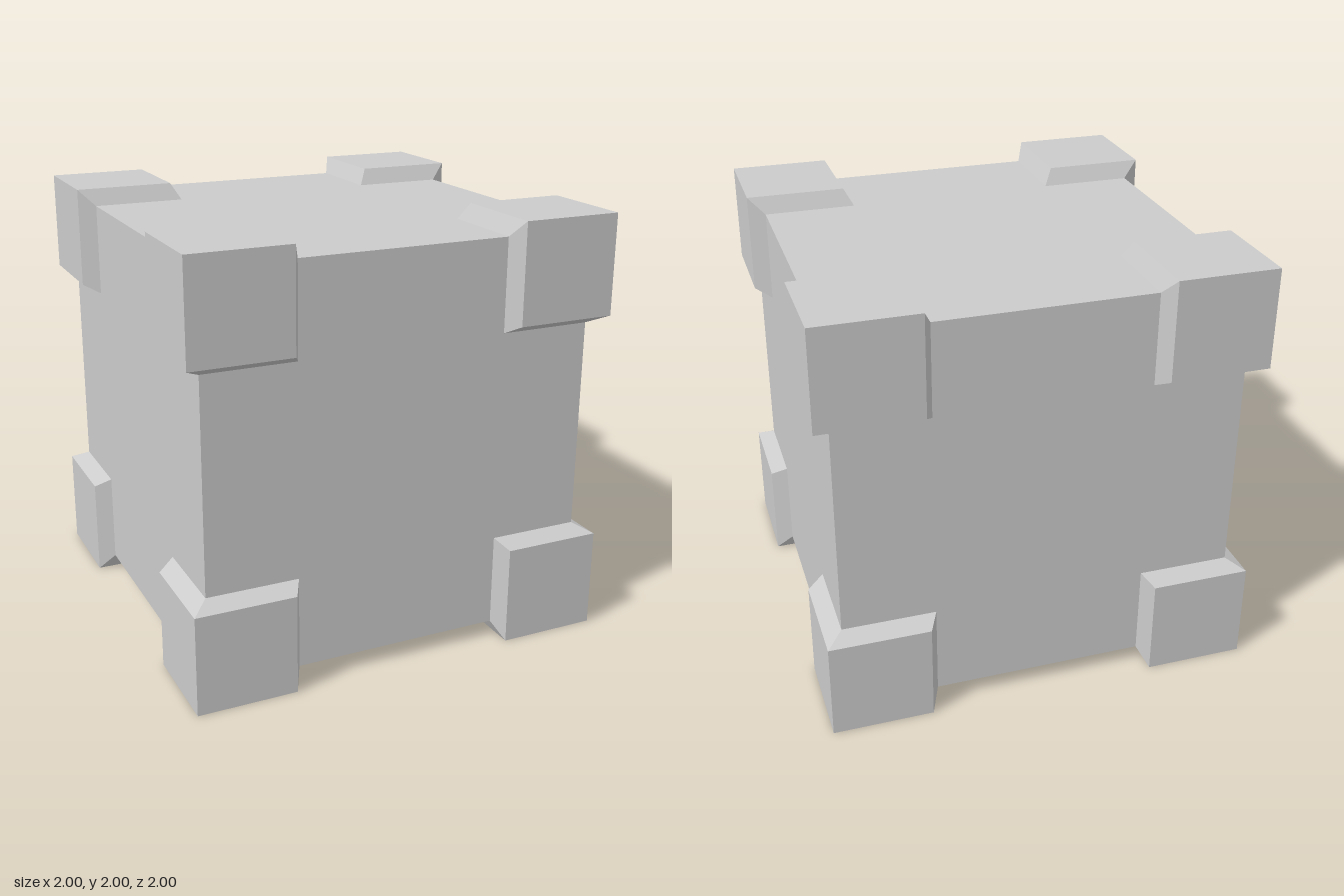
import * as THREE from 'three';

const CORE = 0.923;  // half size of the main cube
const FOOT = 0.493;  // where a corner cap's bevel meets the cube
const LIP = 0.535;   // where the bevel meets the cap's outer face

// One corner cap: three outer faces, each with two sloping bevels, mirrored by sign
function cornerGeometry(sx, sy, sz) {
  const a = FOOT, m = LIP, c = CORE;
  const quads = [
    [[m, m, 1], [1, m, 1], [1, 1, 1], [m, 1, 1]], // outer face
    [[a, a, c], [c, a, c], [1, m, 1], [m, m, 1]], // bevel along x
    [[a, a, c], [m, m, 1], [m, 1, 1], [a, c, c]], // bevel along y
  ];
  const order = sx * sy * sz > 0 ? [0, 1, 2, 0, 2, 3] : [0, 2, 1, 0, 3, 2];
  const positions = [];
  for (let axis = 0; axis < 3; axis++) {
    for (const quad of quads) {
      for (const i of order) {
        const p = quad[i];
        positions.push(
          sx * p[axis],
          sy * p[(axis + 1) % 3],
          sz * p[(axis + 2) % 3]
        );
      }
    }
  }
  const geometry = new THREE.BufferGeometry();
  geometry.setAttribute('position', new THREE.Float32BufferAttribute(positions, 3));
  geometry.computeVertexNormals();
  return geometry;
}

export function createModel() {
  const model = new THREE.Group();
  model.name = 'cornerCappedCube';
  const material = new THREE.MeshStandardMaterial({ color: 0xcccccc, flatShading: true });

  // Main cube
  const core = new THREE.Mesh(new THREE.BoxGeometry(2 * CORE, 2 * CORE, 2 * CORE), material);
  core.name = 'cubeBody';
  core.position.y = 1;
  model.add(core);

  // Eight bevelled corner caps
  for (const sx of [-1, 1]) for (const sy of [-1, 1]) for (const sz of [-1, 1]) {
    const cap = new THREE.Mesh(cornerGeometry(sx, sy, sz), material);
    cap.name = `cornerCap ${sy > 0 ? 'top' : 'bottom'} ${sz > 0 ? 'front' : 'back'} ${sx > 0 ? 'left' : 'right'}`;
    cap.position.y = 1;
    model.add(cap);
  }
  return model;
}
